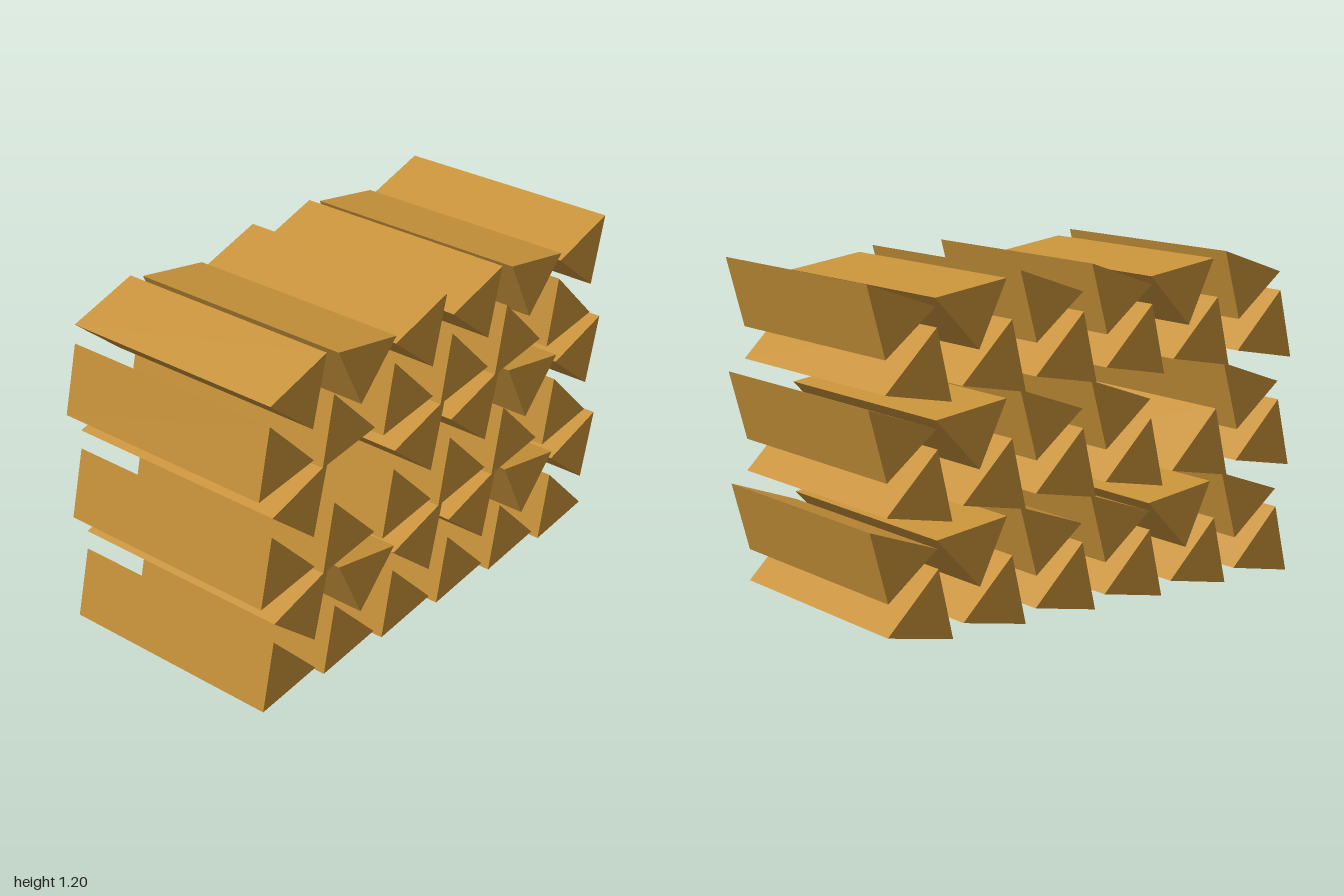
import * as THREE from 'three';

const LENGTH = 0.89;   // prism length
const PITCH = 0.298;   // spacing of prisms along a row
const LAYER = 0.3975;  // height of one double row
const WIDTH = 1.81;    // full row width

// Triangular cross-sections: [along the row, up]
const UPRIGHT = [[0, 0], [0.256, 0.047], [0.056, 0.247]];
const INVERTED = [[0.06, 0.315], [0.253, 0.16], [0.32, 0.406]];
const TIPPED = [[0.078, 0.385], [0.188, 0.16], [0.36, 0.343]];

function prismGeometry(points) {
  const shape = new THREE.Shape(points.map(([u, y]) => new THREE.Vector2(u, y)));
  return new THREE.ExtrudeGeometry(shape, { depth: LENGTH, bevelEnabled: false });
}

export function createModel() {
  const model = new THREE.Group();
  model.name = 'prismStack';
  const ochre = new THREE.MeshStandardMaterial({ color: 0xc8923a });
  ochre.name = 'ochre';

  const upright = prismGeometry(UPRIGHT);
  const inverted = prismGeometry(INVERTED);
  const tipped = prismGeometry(TIPPED);

  // The stack stands turned on the ground
  const stack = new THREE.Group();
  stack.name = 'stack';
  stack.rotation.y = 0.988;
  model.add(stack);

  const add = (parent, geometry, name, column) => {
    const mesh = new THREE.Mesh(geometry, ochre);
    mesh.name = name;
    mesh.position.set(column * PITCH - WIDTH / 2, 0, -LENGTH / 2);
    parent.add(mesh);
  };

  for (let level = 0; level < 3; level++) {
    const layer = new THREE.Group();
    layer.name = `layer${level + 1}`;
    layer.position.y = level * LAYER;
    stack.add(layer);
    for (let column = 0; column < 6; column++) {
      add(layer, upright, 'uprightPrism', column);
      // One prism is left out of the middle layer
      if (level === 1 && column === 1) continue;
      const isTipped = column === 1 || column === 4;
      add(layer, isTipped ? tipped : inverted, isTipped ? 'tippedPrism' : 'invertedPrism', column);
    }
  }
  return model;
}
